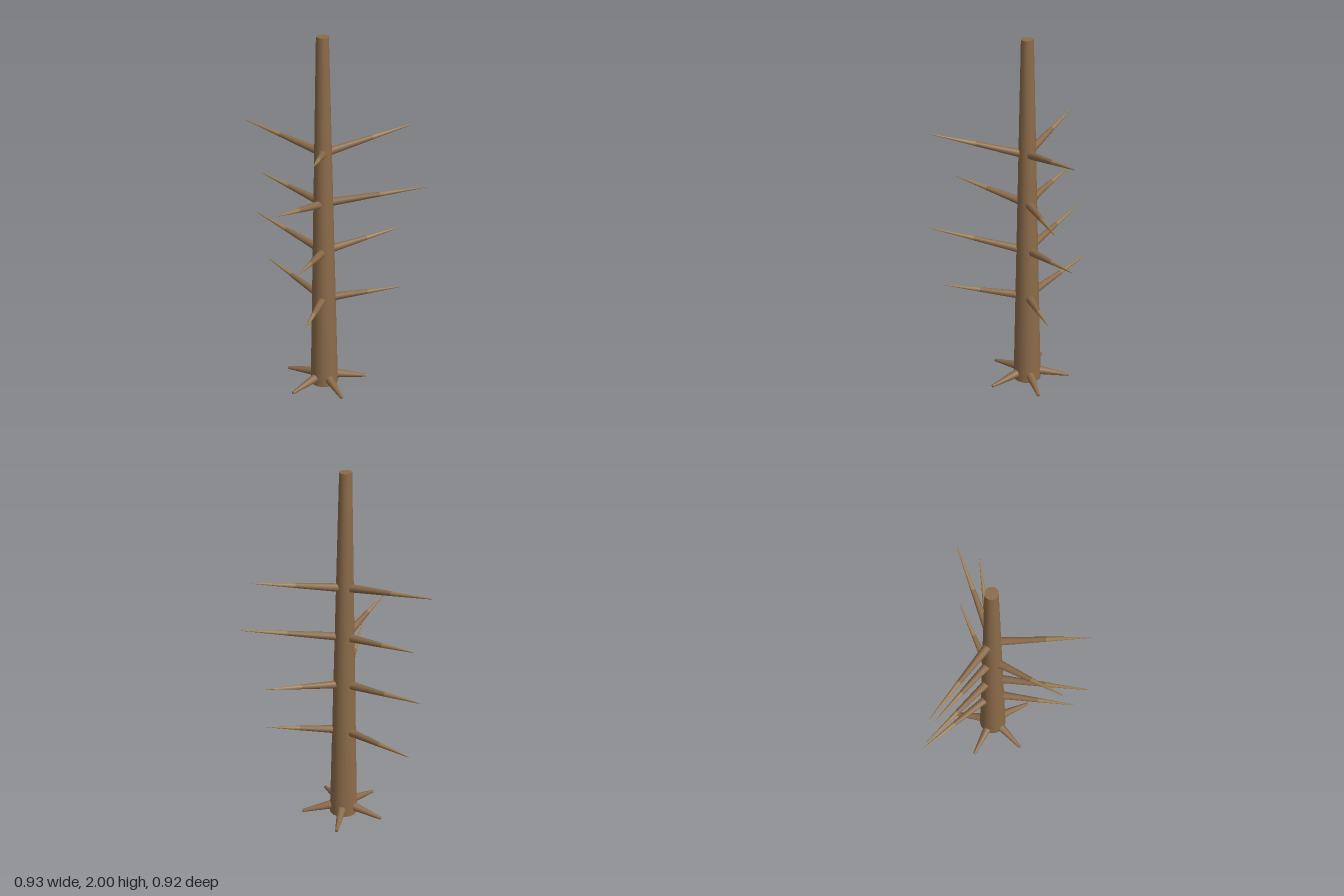
import * as THREE from 'three';

const bark = new THREE.MeshStandardMaterial({ color: 0x8b6b4a });
const twig = new THREE.MeshStandardMaterial({ color: 0xa08055 });
const CX = -0.085, CZ = -0.037;
const trunkRadius = (y) => 0.077 - 0.022 * y;

// Tapered round limb from one point to another
function limb(name, from, to, r0, r1, material, sides = 12) {
  const mesh = new THREE.Mesh(new THREE.CylinderGeometry(r1, r0, from.distanceTo(to), sides), material);
  mesh.name = name;
  mesh.position.copy(from).lerp(to, 0.5);
  mesh.quaternion.setFromUnitVectors(new THREE.Vector3(0, 1, 0), to.clone().sub(from).normalize());
  return mesh;
}

// Point near the trunk surface, facing the given tip
function rootPoint(tip, y) {
  const a = Math.atan2(tip.z - CZ, tip.x - CX);
  const r = trunkRadius(y) * 0.85;
  return new THREE.Vector3(CX + Math.cos(a) * r, y, CZ + Math.sin(a) * r);
}

export function createModel() {
  const model = new THREE.Group();
  model.name = 'bareTree';

  // Trunk
  model.add(limb('trunk', new THREE.Vector3(CX, 0, CZ), new THREE.Vector3(CX, 2, CZ), trunkRadius(0), trunkRadius(2), bark, 20));

  // Five short roots splayed around the foot
  for (let i = 0; i < 5; i++) {
    const a = (i / 5) * Math.PI * 2;
    const tip = new THREE.Vector3(CX + Math.cos(a) * 0.235, 0.014, CZ + Math.sin(a) * 0.235);
    model.add(limb('root', rootPoint(tip, 0.042), tip, 0.025, 0.008, bark));
  }

  // Four tiers of three branches: base height, then the tips
  const tiers = [
    [0.53, [0.335, 0.57, -0.03], [-0.36, 0.58, -0.46], [-0.232, 0.578, 0.4]],
    [0.815, [0.343, 0.87, -0.155], [-0.413, 0.88, -0.43], [-0.265, 0.92, 0.455]],
    [1.095, [0.465, 1.16, -0.025], [-0.385, 1.143, -0.37], [-0.355, 1.172, 0.29]],
    [1.38, [0.403, 1.475, -0.143], [-0.465, 1.447, -0.395], [-0.182, 1.5, 0.45]],
  ];
  for (const [y, ...tips] of tiers) {
    for (const t of tips) {
      const tip = new THREE.Vector3(...t);
      const start = rootPoint(tip, y);
      const middle = start.clone().lerp(tip, 0.51);
      const branch = new THREE.Group();
      branch.name = 'branch';
      branch.add(limb('branchBase', start, middle, 0.022, 0.0125, bark));
      branch.add(limb('branchTip', middle, tip, 0.0125, 0.002, twig));
      model.add(branch);
    }
  }
  return model;
}
